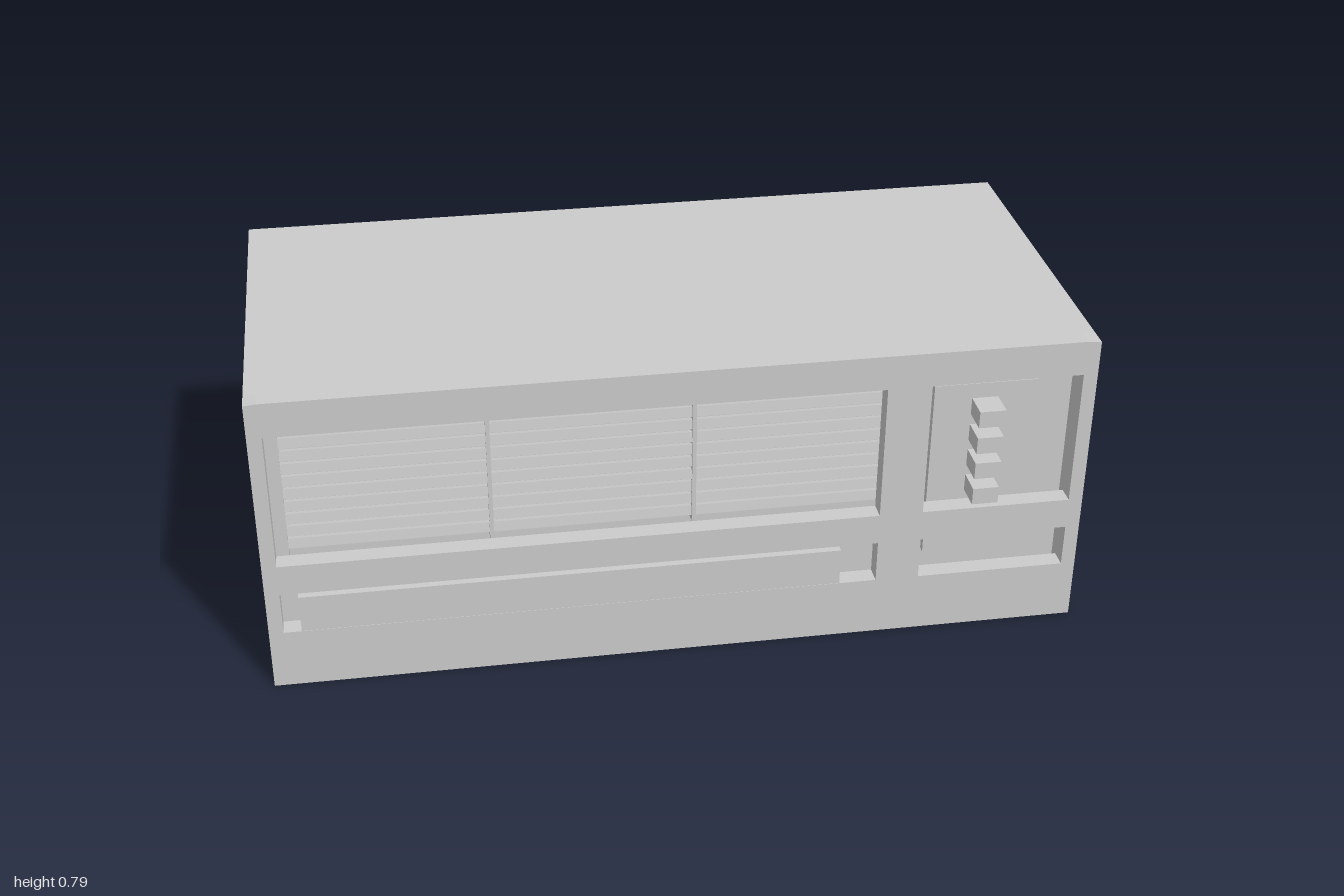
import * as THREE from 'three';

export function createModel() {
  const model = new THREE.Group();
  const material = new THREE.MeshStandardMaterial({ color: 0xcccccc, flatShading: true });
  const FRONT = 0.466;

  const add = (name, geometry) => {
    const mesh = new THREE.Mesh(geometry, material);
    mesh.name = name;
    model.add(mesh);
    return mesh;
  };
  // Box given by its limits on each axis
  const box = (name, x0, x1, y0, y1, z0, z1) => {
    const mesh = add(name, new THREE.BoxGeometry(x1 - x0, y1 - y0, z1 - z0));
    mesh.position.set((x0 + x1) / 2, (y0 + y1) / 2, (z0 + z1) / 2);
    return mesh;
  };
  const trace = (path, points) => {
    points.forEach(([x, y], i) => (i ? path.lineTo(x, y) : path.moveTo(x, y)));
    path.closePath();
    return path;
  };
  const rect = (x0, x1, y0, y1) => [[x0, y0], [x1, y0], [x1, y1], [x0, y1]];
  // Plate with openings, from z0 to z1
  const plate = (name, outline, holes, z0, z1) => {
    const shape = trace(new THREE.Shape(), outline);
    shape.holes = holes.map((h) => trace(new THREE.Path(), h));
    const geometry = new THREE.ExtrudeGeometry(shape, { depth: z1 - z0, bevelEnabled: false });
    add(name, geometry.translate(0, 0, z0));
  };

  // Closed cabinet, with a shallow hollow behind the bezel
  box('cabinet', -1, 1, 0, 0.784, -0.466, 0.346);
  plate('cabinetRim', rect(-1, 1, 0, 0.784), [rect(-0.985, 0.985, 0.015, 0.769)], 0.346, 0.42);

  // Front bezel with a slightly raised top edge and four openings
  plate('bezel',
    [[-1, 0], [1, 0], [1, 0.784], [0.97, 0.787], [-0.97, 0.787], [-1, 0.784]],
    [
      rect(-0.965, 0.487, 0.345, 0.698),
      rect(-0.965, 0.487, 0.155, 0.265),
      rect(0.595, 0.965, 0.345, 0.698),
      rect(0.595, 0.965, 0.155, 0.265),
    ], 0.42, FRONT);

  // Louvre grille: side plate, slats, and two upright dividers
  box('grilleSidePlate', -0.985, -0.935, 0.3, 0.74, 0.38, 0.406);
  const pitch = 0.0345;
  for (let i = 0; i < 10; i++) {
    const y = 0.366 + i * pitch;
    const slat = box('louvreSlat', -0.935, 0.52, y - 0.013, y + 0.013, 0.392, 0.404);
    slat.rotation.x = -0.15;
  }
  for (const x of [-0.453, 0.037]) {
    box('grilleDivider', x - 0.005, x + 0.005, 0.335, 0.71, 0.375, 0.41);
  }

  // Long flap flush with the bezel
  box('lowerFlap', -0.922, 0.395, 0.15, 0.252, 0.35, FRONT - 0.001);

  // Control panel behind the right-hand openings, with push buttons
  box('controlPanel', 0.625, 0.882, 0.175, 0.652, 0.346, 0.39);
  for (const y of [0.59, 0.517, 0.446, 0.373]) {
    box('pushButton', 0.72, 0.785, y - 0.022, y + 0.022, 0.385, 0.459);
  }

  return model;
}
